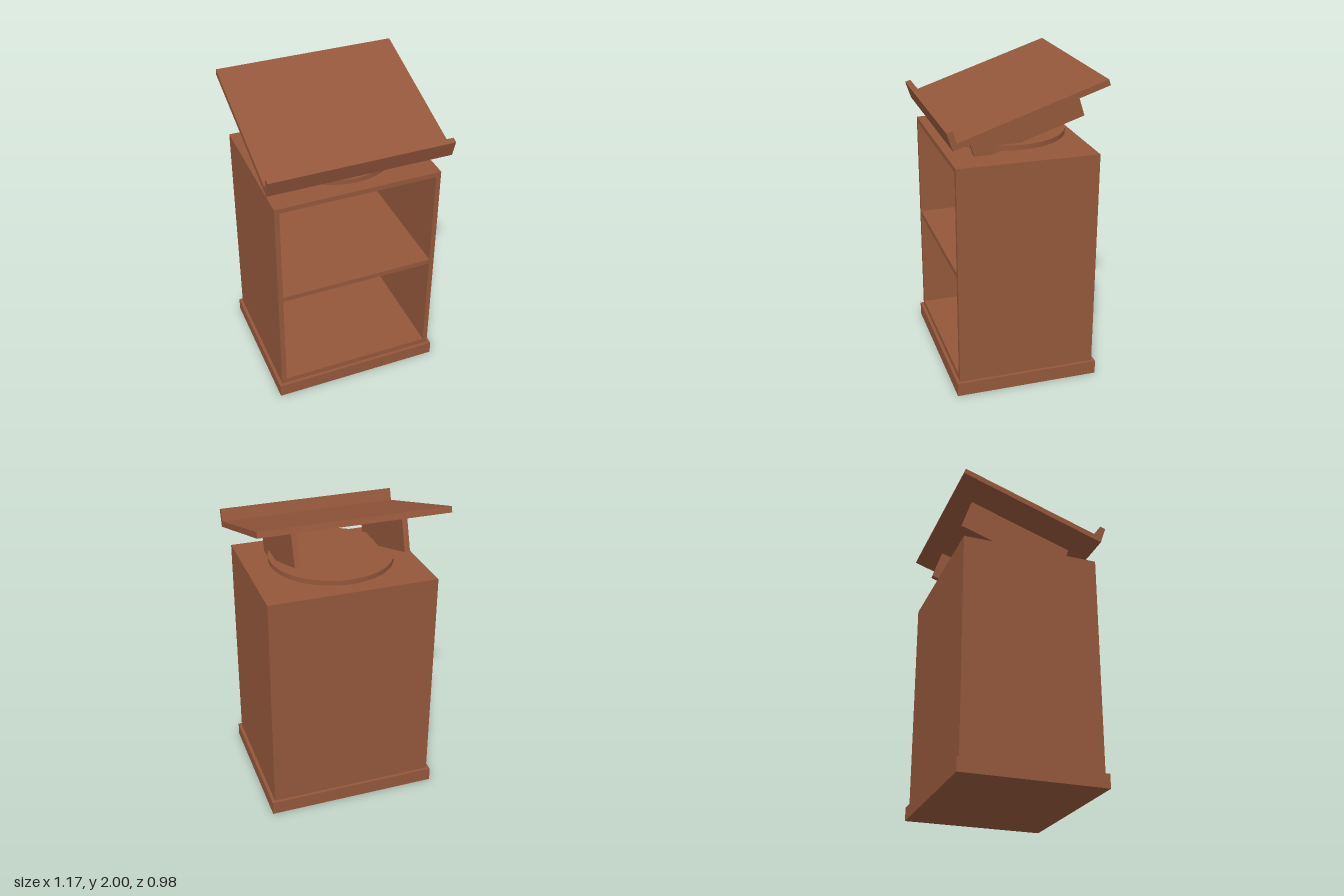
import * as THREE from 'three';

const wood = new THREE.MeshStandardMaterial({ name: 'brown wood', color: 0x94573b });
const metal = new THREE.MeshStandardMaterial({ name: 'grey metal', color: 0xb4b4b4 });

// Box given by its minimum and maximum corners
function box(name, [x0, y0, z0], [x1, y1, z1]) {
  const mesh = new THREE.Mesh(new THREE.BoxGeometry(x1 - x0, y1 - y0, z1 - z0), wood);
  mesh.position.set((x0 + x1) / 2, (y0 + y1) / 2, (z0 + z1) / 2);
  mesh.name = name;
  return mesh;
}

function disc(name, radius, y0, y1, material) {
  const mesh = new THREE.Mesh(new THREE.CylinderGeometry(radius, radius, y1 - y0, 64), material);
  mesh.position.set(0, (y0 + y1) / 2, -0.015);
  mesh.name = name;
  return mesh;
}

export function createModel() {
  const model = new THREE.Group();
  model.name = 'lectern';

  // Plinth and open-fronted cabinet
  const w = 0.537, inner = 0.505, front = 0.43, back = -0.465, backInner = -0.453;
  const cabinet = new THREE.Group();
  cabinet.name = 'cabinet';
  cabinet.add(
    box('plinth', [-0.557, 0, -0.485], [0.557, 0.09, 0.45]),
    box('rightSide', [-w, 0.09, back], [-inner, 1.53, front]),
    box('leftSide', [inner, 0.09, back], [w, 1.53, front]),
    box('backPanel', [-inner, 0.09, back], [inner, 1.53, backInner])
  );
  const boards = [['floor', 0.09, 0.127], ['shelf', 0.815, 0.848], ['topPanel', 1.498, 1.53]];
  for (const [name, y0, y1] of boards) {
    cabinet.add(box(name, [-inner, y0, backInner], [inner, y1, front]));
  }
  model.add(cabinet);

  // Turntable
  model.add(
    disc('turntableBearing', 0.27, 1.53, 1.557, metal),
    disc('turntable', 0.395, 1.557, 1.588, wood)
  );

  // Tilted reading desk, pivoting at its lower front edge
  const desk = new THREE.Group();
  desk.name = 'readingDesk';
  desk.position.set(0, 1.655, 0.455);
  desk.rotation.x = THREE.MathUtils.degToRad(18.2);
  desk.add(
    box('deskBoard', [-0.585, 0, -0.993], [0.585, 0.037, 0]),
    box('bookLip', [-0.585, 0.037, -0.037], [0.585, 0.115, 0])
  );
  for (const x of [-0.34, 0.34]) {
    desk.add(box('bracket', [x - 0.017, -0.21, -0.858], [x + 0.017, 0, -0.137]));
  }
  model.add(desk);

  return model;
}
